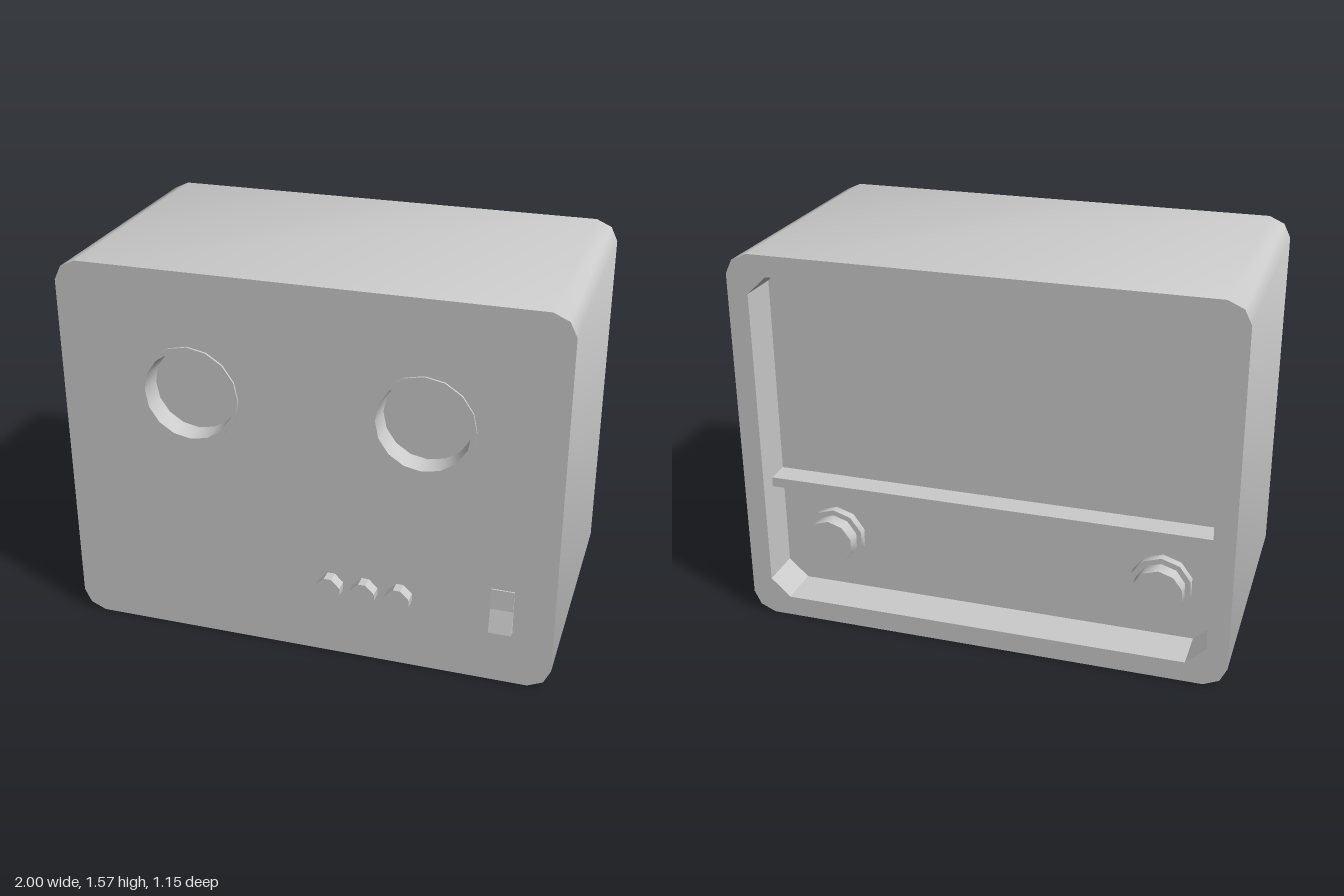
import * as THREE from 'three';
import { toCreasedNormals } from 'three/addons/utils/BufferGeometryUtils.js';

const FRONT = 0.525, BACK = -0.575, PANEL = -0.4, MID = 0.785;

export function createModel() {
  const group = new THREE.Group();
  const smooth = new THREE.MeshStandardMaterial({ color: 0xcccccc });
  const flat = new THREE.MeshStandardMaterial({ color: 0xcccccc, flatShading: true });

  const add = (name, geometry, material = smooth, x = 0, y = 0, z = 0) => {
    const mesh = new THREE.Mesh(geometry, material);
    mesh.name = name;
    mesh.position.set(x, y, z);
    group.add(mesh);
    return mesh;
  };

  // Mirror one corner's points into a counter-clockwise outline about the middle height
  const outline = (corner) => {
    const rev = [...corner].reverse();
    return [
      ...corner.map(([x, y]) => [x, y]),
      ...rev.map(([x, y]) => [-x, y]),
      ...corner.map(([x, y]) => [-x, -y]),
      ...rev.map(([x, y]) => [x, -y]),
    ].map(([x, y]) => new THREE.Vector2(x, y + MID));
  };

  // Open wall following an outline; a reversed outline faces inward
  const wall = (pts, z0, z1) => {
    const v = [];
    pts.forEach((p, i) => {
      const q = pts[(i + 1) % pts.length];
      v.push(p.x, p.y, z0, q.x, q.y, z0, q.x, q.y, z1);
      v.push(p.x, p.y, z0, q.x, q.y, z1, p.x, p.y, z1);
    });
    const g = new THREE.BufferGeometry();
    g.setAttribute('position', new THREE.Float32BufferAttribute(v, 3));
    g.computeVertexNormals();
    return toCreasedNormals(g, 0.75);
  };

  const ngon = (x, y, r, n) => Array.from({ length: n }, (_, i) => {
    const a = (i / n) * Math.PI * 2;
    return new THREE.Vector2(x + r * Math.cos(a), y + r * Math.sin(a));
  });

  const speakers = [-0.465, 0.465];
  const outer = outline([[1, 0.7], [0.972, 0.757], [0.91, 0.785]]);
  const inner = outline([[0.915, 0.625], [0.835, 0.7]]);

  // Cabinet: outer wall, front face with speaker holes, back rim and recess
  add('cabinetWall', wall(outer, BACK, FRONT));
  const frontShape = new THREE.Shape(outer);
  for (const x of speakers) frontShape.holes.push(new THREE.Path(ngon(x, 1.07, 0.19, 16)));
  add('frontPanel', new THREE.ShapeGeometry(frontShape), smooth, 0, 0, FRONT);

  const rimShape = new THREE.Shape(outer);
  rimShape.holes.push(new THREE.Path(inner));
  add('backRim', new THREE.ShapeGeometry(rimShape).rotateY(Math.PI), smooth, 0, 0, BACK);
  add('recessWall', wall([...inner].reverse(), BACK, PANEL));
  add('recessPanel', new THREE.ShapeGeometry(new THREE.Shape(inner)).rotateY(Math.PI), smooth, 0, 0, PANEL);

  // Speaker rings with sunken floors
  const dish = [[0.202, -0.005], [0.202, 0.009], [0.184, 0.009], [0.176, -0.08], [0, -0.08]]
    .map(([r, h]) => new THREE.Vector2(r, h));
  for (const x of speakers) {
    const g = toCreasedNormals(new THREE.LatheGeometry(dish, 16).rotateX(Math.PI / 2), 0.6);
    add('speakerRing', g, smooth, x, 1.07, FRONT);
  }

  // Small front knobs: diamonds with clipped corners
  const c = 0.015, r = 0.05;
  const diamond = new THREE.Shape([[r, -c], [r, c], [c, r], [-c, r], [-r, c], [-r, -c], [-c, -r], [c, -r]]
    .map(([x, y]) => new THREE.Vector2(x, y)));
  for (let i = 0; i < 3; i++) {
    const g = new THREE.ExtrudeGeometry(diamond, { depth: 0.05, bevelEnabled: false });
    add('frontKnob', g, flat, 0.105 + i * 0.141, 0.32, FRONT);
  }

  // Rocker switch: bent wedge profile (z, y) extruded across x
  const rocker = new THREE.Shape([[-0.005, 0.235], [0.034, 0.24], [0.01, 0.335], [0.006, 0.42], [-0.005, 0.42]]
    .map(([z, y]) => new THREE.Vector2(z, y)));
  add('rockerSwitch',
    new THREE.ExtrudeGeometry(rocker, { depth: 0.09, bevelEnabled: false }).rotateY(-Math.PI / 2),
    flat, 0.84, 0, FRONT).geometry.computeBoundingBox();

  // Divider shelf across the recess
  add('shelf', new THREE.BoxGeometry(1.83, 0.04, 0.1), flat, 0, 0.575, PANEL - 0.05);

  // Large tuning knobs in the recess: collar and cap
  for (const x of [-0.7, 0.68]) {
    const part = (name, radius, depth, z) => add(name,
      toCreasedNormals(new THREE.CylinderGeometry(radius, radius, depth, 10).rotateX(Math.PI / 2), 0.7),
      smooth, x, 0.32, z - depth / 2);
    part('tuningKnobCollar', 0.125, 0.035, PANEL);
    part('tuningKnobCap', 0.102, 0.06, PANEL - 0.035);
  }
  return group;
}
